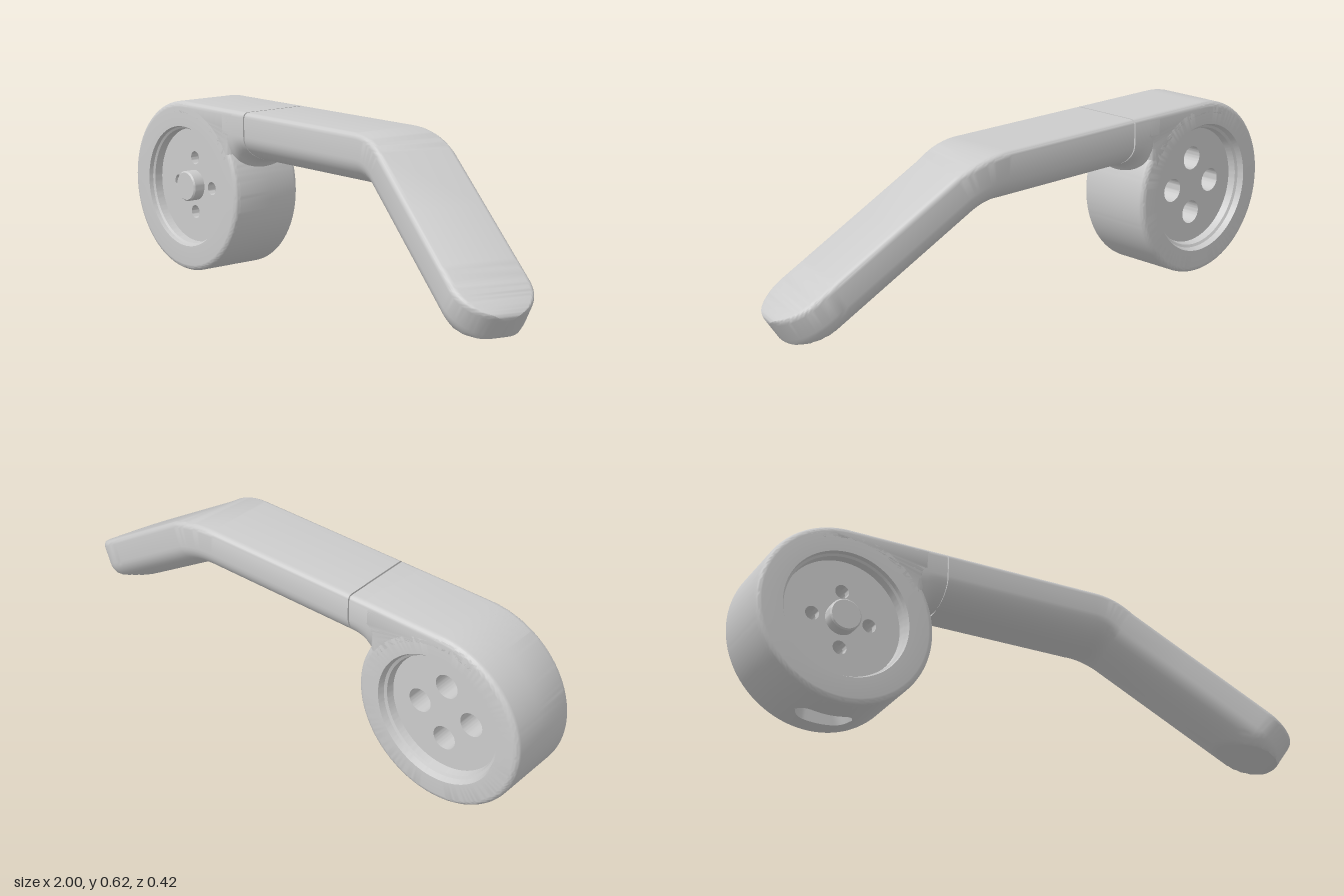
import * as THREE from 'three';
import { toCreasedNormals } from 'three/addons/utils/BufferGeometryUtils.js';

const CX = -0.69, CY = 0.31, R = 0.31, BACK = -0.21, FRONT = 0.07, F = 0.02;
const MID = (BACK + FRONT) / 2, HALF = (FRONT - BACK) / 2;

export function createModel() {
  const group = new THREE.Group();
  const material = new THREE.MeshStandardMaterial({ color: 0xcccccc });
  const add = (name, geometry, x = 0, y = 0, z = 0) => {
    const mesh = new THREE.Mesh(geometry, material);
    mesh.name = name;
    mesh.position.set(x, y, z);
    group.add(mesh);
  };

  add('hubRing', hubRing(), CX, CY);
  add('hubShoulder', shoulder(), CX, CY);

  // Web plates: small bolt holes in front, wider bores behind
  add('webFront', plate(0.024, 0.03), CX, CY, -0.01);
  add('webBack', plate(0.042, 0.15), CX, CY, -0.16);
  const boss = new THREE.LatheGeometry(
    [[0.055, 0], [0.055, 0.045], [0.05, 0.05], [0, 0.05]].map(p => new THREE.Vector2(...p)), 48);
  add('centreBoss', toCreasedNormals(boss.rotateX(Math.PI / 2), 0.5), CX, CY, 0.015);

  add('leverArm', arm());
  return group;
}

// Ring around the hub, with a rounded slot cut into its underside
function hubRing() {
  const pts = [[0.205, -0.15], [0.213, -0.185], [0.222, -0.19], [0.23, BACK]];
  for (let i = 0; i <= 6; i++) {
    const a = i / 6 * Math.PI / 2;
    pts.push([R - F + F * Math.sin(a), BACK + F - F * Math.cos(a)]);
  }
  const slot = pts.length, slotZ = -0.085;
  for (const r of [R, R - 0.045, R - 0.045, R]) pts.push([r, slotZ]);
  for (let i = 0; i <= 6; i++) {
    const a = i / 6 * Math.PI / 2;
    pts.push([R - F + F * Math.cos(a), FRONT - F + F * Math.sin(a)]);
  }
  pts.push([0.22, FRONT], [0.217, 0.055], [0.21, 0.05], [0.208, 0.01]);

  const segments = 192;
  const geo = new THREE.LatheGeometry(pts.map(p => new THREE.Vector2(...p)), segments);
  const pos = geo.attributes.position;
  for (let i = 0; i <= segments; i++) {
    const phi = i / segments * Math.PI * 2;
    if (Math.cos(phi) < 0) continue;
    const over = Math.max(0, Math.abs(R * Math.sin(phi)) - 0.055);
    const w = Math.sqrt(Math.max(0, 0.04 ** 2 - over ** 2));
    for (let k = 0; k < 4; k++) {
      pos.setY(i * pts.length + slot + k, slotZ + (k < 2 ? -w : w));
    }
  }
  return toCreasedNormals(geo.rotateX(Math.PI / 2), 0.6);
}

// Tangent block joining the top of the ring to the arm
function shoulder() {
  const shape = new THREE.Shape();
  shape.absarc(0, 0, 0.25, 0.42, 2.1, false);
  shape.absarc(0, 0, R, 2.1, Math.PI / 2, true);
  shape.lineTo(0.3, R);
  shape.lineTo(0.3, 0.225);
  shape.quadraticCurveTo(0.27, 0.215, 0.27, 0.18);
  shape.lineTo(0.27, 0.12);
  const geo = new THREE.ExtrudeGeometry(shape, {
    depth: 2 * (HALF - F), bevelThickness: F, bevelSize: F, bevelOffset: -F,
    bevelSegments: 5, curveSegments: 40,
  });
  geo.translate(0, 0, BACK + F);
  return toCreasedNormals(geo, 0.6);
}

// Round plate with four holes
function plate(holeRadius, depth) {
  const shape = new THREE.Shape().absarc(0, 0, 0.215, 0, Math.PI * 2, false);
  for (let i = 0; i < 4; i++) {
    const a = i * Math.PI / 2;
    shape.holes.push(new THREE.Path().absarc(
      0.1 * Math.cos(a), 0.1 * Math.sin(a), holeRadius, 0, Math.PI * 2, true));
  }
  return toCreasedNormals(new THREE.ExtrudeGeometry(shape,
    { depth, bevelEnabled: false, curveSegments: 32 }), 0.6);
}

// Section of the arm: flat top with rounded edges, straight sides, elliptical belly
// u runs across (towards the front), v runs down from the top face
function section(depth) {
  const pts = [], side = 0.085;
  for (const s of [-1, 1]) {
    for (let i = 0; i <= 5; i++) {
      const a = (s < 0 ? i : 5 - i) / 5 * Math.PI / 2;
      pts.push([s * (HALF - F + F * Math.cos(a)), F - F * Math.sin(a)]);
    }
  }
  for (let i = 0; i <= 24; i++) {
    const a = i / 24 * Math.PI;
    pts.push([HALF * Math.cos(a), side + (depth - side) * Math.sin(a)]);
  }
  return pts;
}

function arm() {
  const corner = new THREE.Vector3(0.34, 0.62, MID);
  const dir = new THREE.Vector3(1, -0.69, 0.27).normalize();
  const along = new THREE.Vector3(1, 0, 0);
  const stations = [];
  const station = (p, t, depth, extra = {}) => stations.push({
    p, t, depth, width: 1, top: 0, bottom: 1, ...extra });

  // Flared root, seam groove and straight run
  const run = [[-0.46, 0.27], [-0.41, 0.235], [-0.395, 0.21], [-0.38, 0.195],
    [-0.36, 0.184], [-0.338, 0.18], [-0.338, 0.18, 1], [-0.332, 0.18, 1], [-0.332, 0.18]];
  for (const [x, depth, seam] of run) {
    station(new THREE.Vector3(x, 0.62, MID), along, depth,
      seam ? { width: 0.95, top: 0.007, bottom: 0.173 } : {});
  }

  // Bend downwards and forwards
  const bend = new THREE.QuadraticBezierCurve3(
    corner.clone().addScaledVector(along, -0.1), corner,
    corner.clone().addScaledVector(dir, 0.1));
  for (let i = 0; i <= 16; i++) {
    station(bend.getPoint(i / 16), bend.getTangent(i / 16), 0.18 - 0.01 * i / 16);
  }

  // Sloping paddle with a round end and a flat cut beneath the tip
  const length = 0.82, cutStart = 0.59;
  const slope = (s) => {
    const e = Math.max(0, length - s);
    const q = Math.max(0, 1 - e / HALF), f = Math.max(0, F - e);
    const edge = F - Math.sqrt(F * F - f * f);
    const cut = 0.175 - 0.075 * Math.max(0, s - cutStart) / (length - cutStart);
    station(corner.clone().addScaledVector(dir, s), dir, 0.17,
      { width: Math.sqrt(Math.max(0, 1 - q * q)), top: edge, bottom: cut - edge * 0.5 });
  };
  for (const s of [0.35, cutStart, 0.61, 0.63, 0.655]) slope(s);
  for (let i = 0; i <= 24; i++) {
    slope(length - HALF * (1 - Math.sin(i / 24 * Math.PI / 2)));
  }

  // Loft the sections along the stations
  const verts = [], index = [];
  let n = 0;
  stations.forEach(({ p, t, depth, width, top, bottom }, j) => {
    const across = new THREE.Vector3(-t.z, 0, t.x).normalize();
    const up = new THREE.Vector3().crossVectors(across, t).normalize();
    const pts = section(depth);
    n = pts.length;
    pts.forEach(([u, v], i) => {
      const q = p.clone().addScaledVector(across, u * width)
        .addScaledVector(up, -Math.min(bottom, Math.max(top, v)));
      verts.push(q.x, q.y, q.z);
      if (j === 0) return;
      const k = (i + 1) % n, a = (j - 1) * n, b = j * n;
      index.push(a + i, a + k, b + i, a + k, b + k, b + i);
    });
  });
  const geo = new THREE.BufferGeometry();
  geo.setAttribute('position', new THREE.Float32BufferAttribute(verts, 3));
  geo.setIndex(index);
  return toCreasedNormals(geo, 0.6);
}
